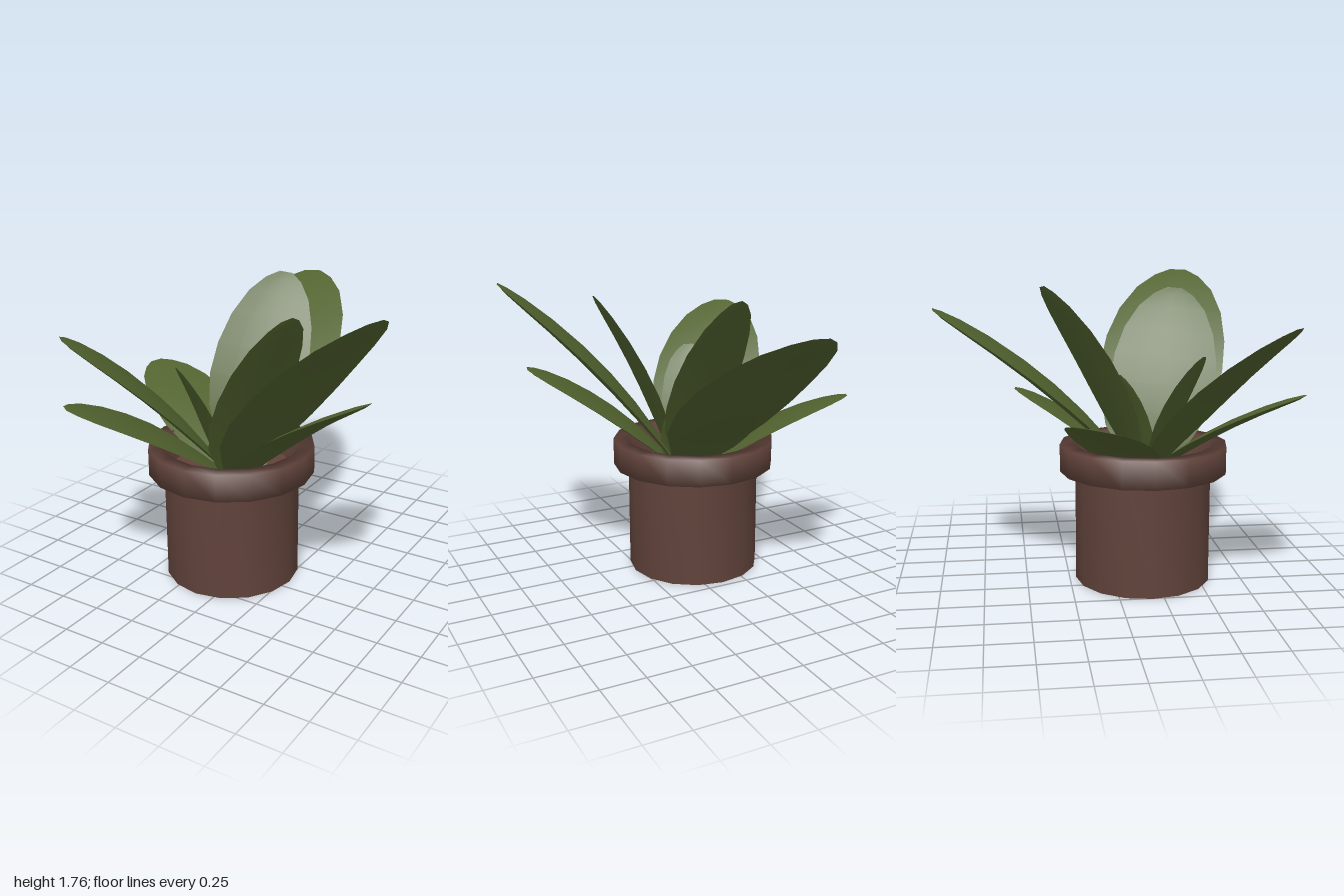
import * as THREE from 'three';
import { toCreasedNormals } from 'three/addons/utils/BufferGeometryUtils.js';

const leafGreen = new THREE.MeshStandardMaterial({ color: 0x52632f });
leafGreen.name = 'leafGreen';
const clayBrown = new THREE.MeshStandardMaterial({ color: 0x60423a });
clayBrown.name = 'clayBrown';

// Leaf outline: position along the leaf, share of the full width
const OUTLINE = [
  [0, 0.25], [0.15, 0.56], [0.3, 0.88], [0.45, 1], [0.6, 0.98],
  [0.75, 0.86], [0.88, 0.64], [0.96, 0.38], [1, 0.14],
];
const ACROSS = [-1, -0.5, 0, 0.5, 1];

// One sheet of a leaf, upper or lower, swept from base to tip.
// A positive roll lifts the edge on the right when looking towards the tip.
function leafSheet(base, tip, width, roll, upper) {
  const along = tip.clone().sub(base);
  const length = along.length();
  const axis = along.clone().normalize();
  const level = axis.clone().cross(new THREE.Vector3(0, 1, 0)).normalize();
  const arched = level.clone().cross(axis);
  const side = level.clone().multiplyScalar(Math.cos(roll)).addScaledVector(arched, Math.sin(roll));
  const normal = side.clone().cross(axis);
  const positions = [];
  const index = [];
  OUTLINE.forEach(([t, share], i) => {
    const thick = i === OUTLINE.length - 1 ? 0 : share * width;
    ACROSS.forEach((u, j) => {
      const arch = 0.2 * length * t * (1 - t);
      const belly = (1 - u * u) * thick * (upper ? 0.03 : -0.055);
      const p = base.clone()
        .addScaledVector(along, t)
        .addScaledVector(side, u * share * width / 2)
        .addScaledVector(arched, arch)
        .addScaledVector(normal, belly);
      positions.push(p.x, p.y, p.z);
      if (i === 0 || j === 0) return;
      const c = i * ACROSS.length + j;
      const d = c - 1;
      const b = c - ACROSS.length;
      const a = b - 1;
      if (upper) index.push(a, b, c, a, c, d);
      else index.push(a, c, b, a, d, c);
    });
  });
  const geometry = new THREE.BufferGeometry();
  geometry.setAttribute('position', new THREE.Float32BufferAttribute(positions, 3));
  geometry.setIndex(index);
  geometry.computeVertexNormals();
  return geometry;
}

function makeLeaf(name, base, tip, width, roll) {
  const leaf = new THREE.Group();
  leaf.name = name;
  const from = new THREE.Vector3(...base);
  const to = new THREE.Vector3(...tip);
  for (const upper of [true, false]) {
    const sheet = new THREE.Mesh(leafSheet(from, to, width, roll, upper), leafGreen);
    sheet.name = upper ? 'leafTop' : 'leafUnderside';
    leaf.add(sheet);
  }
  return leaf;
}

// Name, base, tip, width, roll
const LEAVES = [
  ['backLargeLeaf', [-0.06, 0.6, 0.16], [-0.22, 1.6, -0.99], 0.77, 0.08],
  ['backUprightLeaf', [-0.06, 0.6, 0.18], [-0.08, 1.71, -0.39], 0.57, -0.27],
  ['backLowLeaf', [-0.09, 0.6, 0.16], [-0.02, 1.13, -0.55], 0.46, 0],
  ['backSmallLeaf', [-0.01, 0.6, 0.22], [-0.05, 1.2, 0.05], 0.34, -0.1],
  ['rightLowLeaf', [-0.1, 0.6, 0.14], [-0.95, 1.07, -0.22], 0.49, 0.1],
  ['leftLargeLeaf', [-0.04, 0.6, 0.22], [0.95, 1.76, 0.58], 0.77, -0.05],
  ['leftLowLeaf', [-0.04, 0.6, 0.21], [0.84, 1.28, 0.44], 0.62, 0],
  ['leftUprightLeaf', [-0.03, 0.6, 0.27], [0.41, 1.67, 0.46], 0.63, -0.2],
  ['frontLargeLeaf', [-0.11, 0.6, 0.2], [-0.7, 1.52, 0.91], 0.68, 0],
  ['frontLowLeaf', [-0.11, 0.6, 0.2], [-0.65, 1.16, 0.97], 0.55, 0],
  ['frontSmallLeaf', [-0.14, 0.6, 0.22], [-0.24, 1.32, 0.51], 0.38, 0.25],
];

// Sixteen-sided turned part from [radius, height] pairs
function turned(points) {
  return new THREE.LatheGeometry(points.map(([r, y]) => new THREE.Vector2(r, y)), 16);
}

export function createModel() {
  const plant = new THREE.Group();
  plant.name = 'pottedPlant';

  // Pot: straight body, softly shaded collar, soil surface inside
  const pot = new THREE.Group();
  pot.name = 'pot';
  pot.position.set(-0.11, 0, 0.185);
  const parts = {
    potBody: toCreasedNormals(turned([[0.001, 0], [0.397, 0], [0.397, 0.66]]), 0.7),
    potCollar: turned([[0.39, 0.65], [0.487, 0.65], [0.487, 0.81], [0.4, 0.81], [0.385, 0.62]]),
    soil: turned([[0.39, 0.63], [0.001, 0.63]]),
  };
  for (const [name, geometry] of Object.entries(parts)) {
    const mesh = new THREE.Mesh(geometry, clayBrown);
    mesh.name = name;
    pot.add(mesh);
  }
  plant.add(pot);

  // Foliage
  const foliage = new THREE.Group();
  foliage.name = 'foliage';
  for (const leaf of LEAVES) foliage.add(makeLeaf(...leaf));
  plant.add(foliage);

  return plant;
}
